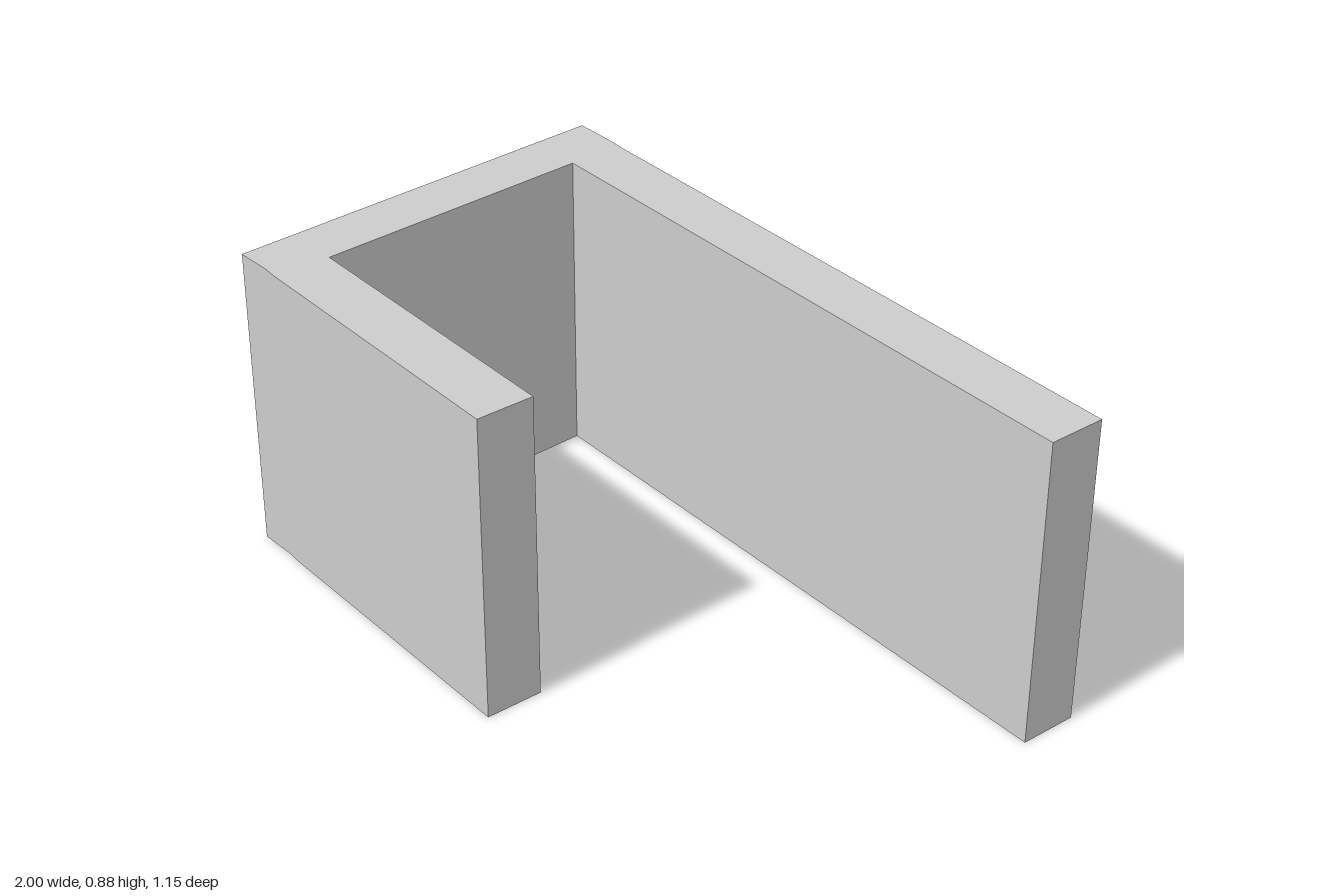
import * as THREE from 'three';

export function createModel() {
  const group = new THREE.Group();
  const material = new THREE.MeshStandardMaterial({ color: 0xcccccc, flatShading: true });

  // Plan outline of the wall as (x, z): long back arm, leaning end, short front arm
  const outline = [
    [-0.95, 0.574], [-0.84, 0.569], [-0.8, 0.572], [0.085, 0.572], [0.085, 0.407],
    [-0.795, 0.407], [-0.83, -0.41], [1, -0.41], [1, -0.573],
    [-0.82, -0.573], [-0.86, -0.576], [-1, -0.573],
  ];
  const shape = new THREE.Shape(outline.map(([x, z]) => new THREE.Vector2(x, -z)));

  // Raise the outline to the wall height
  const geometry = new THREE.ExtrudeGeometry(shape, { depth: 0.883, bevelEnabled: false });
  geometry.rotateX(-Math.PI / 2);

  const wall = new THREE.Mesh(geometry, material);
  wall.name = 'hookedWall';
  group.add(wall);
  return group;
}
